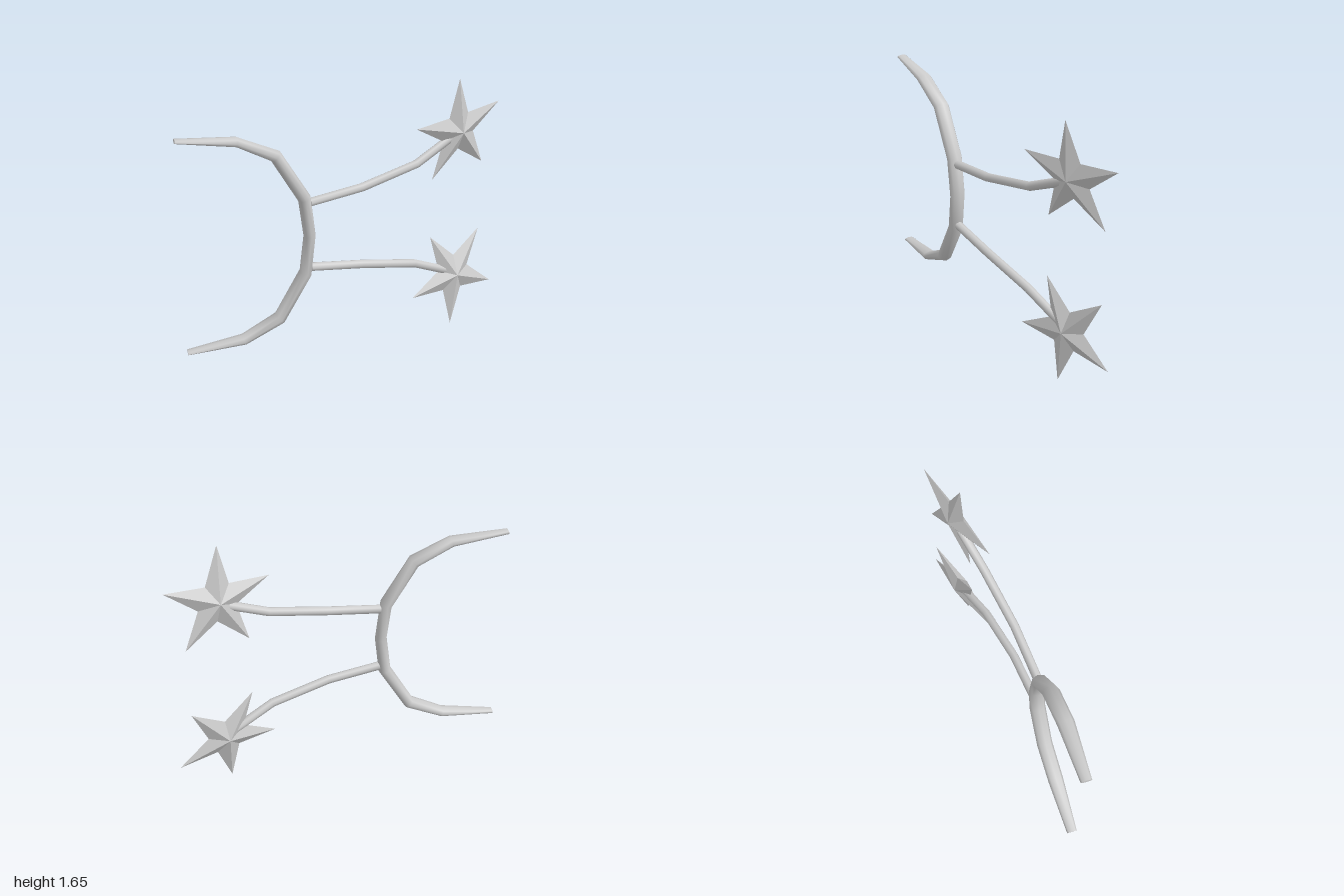
import * as THREE from 'three';

const V = (x, y, z) => new THREE.Vector3(x, y, z);
const MID = 0.8275; // height of the mirror plane
const SIDES = 8;

// Sweep an elliptical section along points [x, y, z, half thickness, half width].
// The width of the section lies along the direction "across".
function sweep(rows, across) {
  const pts = rows.map(r => V(r[0], r[1], r[2]));
  const pos = [], index = [];
  const push = p => pos.push(p.x, p.y, p.z) / 3 - 1;
  const rings = pts.map((p, i) => {
    const t = V(0, 0, 0);
    if (i > 0) t.add(p.clone().sub(pts[i - 1]).normalize());
    if (i < pts.length - 1) t.add(pts[i + 1].clone().sub(p).normalize());
    t.normalize();
    const n = across.clone().addScaledVector(t, -across.dot(t)).normalize();
    const b = n.clone().cross(t);
    return Array.from({ length: SIDES }, (_, j) => {
      const a = (j / SIDES) * Math.PI * 2;
      return p.clone().addScaledVector(b, rows[i][3] * Math.cos(a)).addScaledVector(n, rows[i][4] * Math.sin(a));
    });
  });
  rings.forEach(r => r.forEach(push));
  for (let i = 0; i < rings.length - 1; i++) {
    for (let j = 0; j < SIDES; j++) {
      const k = (j + 1) % SIDES;
      const a = i * SIDES + j, b = i * SIDES + k;
      index.push(a, b, a + SIDES, b, b + SIDES, a + SIDES);
    }
  }
  // End caps with their own vertices, so the rims stay sharp
  [0, rings.length - 1].forEach((i, end) => {
    const c = push(pts[i]);
    rings[i].forEach(push);
    for (let j = 0; j < SIDES; j++) {
      const a = c + 1 + j, b = c + 1 + ((j + 1) % SIDES);
      if (end) index.push(c, a, b);
      else index.push(c, b, a);
    }
  });
  const g = new THREE.BufferGeometry();
  g.setAttribute('position', new THREE.Float32BufferAttribute(pos, 3));
  g.setIndex(index);
  g.computeVertexNormals();
  return g;
}

// Faceted five-pointed star in the xy plane with a peak on both faces
function starGeometry(outer, inner, peak) {
  const ring = Array.from({ length: 10 }, (_, i) => {
    const a = Math.PI / 2 + (i * Math.PI) / 5, r = i % 2 ? inner : outer;
    return [r * Math.cos(a), r * Math.sin(a), 0];
  });
  const pos = [];
  ring.forEach((p, i) => {
    const q = ring[(i + 1) % 10];
    pos.push(...p, ...q, 0, 0, peak, ...q, ...p, 0, 0, -peak);
  });
  const g = new THREE.BufferGeometry();
  g.setAttribute('position', new THREE.Float32BufferAttribute(pos, 3));
  g.computeVertexNormals();
  return g;
}

export function createModel() {
  const group = new THREE.Group();
  const smooth = new THREE.MeshStandardMaterial({ color: 0xcccccc });
  const flat = new THREE.MeshStandardMaterial({ color: 0xcccccc, flatShading: true });
  const add = (name, geometry, material) => {
    const mesh = new THREE.Mesh(geometry, material);
    mesh.name = name;
    group.add(mesh);
    return mesh;
  };

  // Headband: half of the arc, mirrored about the middle
  const half = [
    [-1.0, 1.495, 0.263, 0.011, 0.032],
    [-0.66, 1.458, 0.222, 0.028, 0.049],
    [-0.438, 1.348, 0.187, 0.038, 0.05],
    [-0.275, 1.067, 0.163, 0.039, 0.05],
  ];
  const lower = half.map(([x, y, ...r]) => [x, 2 * MID - y, ...r]).reverse();
  const arc = [...half, [-0.247, MID, 0.157, 0.037, 0.05], ...lower];
  add('headband', sweep(arc, V(0.15, 0, 0.99).normalize()), smooth);

  // Two bent stalks, each carrying a star
  for (const [side, s] of [['left', 1], ['right', -1]]) {
    const stalk = [
      [-0.24, 1.037], [0.08, 1.08], [0.43, 1.16], [0.71, 1.3],
    ].map(([x, y], i) => [x, MID + s * (y - MID), [0.155, 0.08, -0.04, -0.165][i], 0.027, 0.027]);
    add(side + 'Stalk', sweep(stalk, V(0, 0, 1)), smooth);

    const star = add(side + 'Star', starGeometry(0.342, 0.125, 0.052), flat);
    const n = V(0.51, -0.1 * s, 1).normalize();
    const up = V(-0.04, s, 0.12);
    up.addScaledVector(n, -up.dot(n)).normalize();
    star.quaternion.setFromRotationMatrix(new THREE.Matrix4().makeBasis(up.clone().cross(n), up, n));
    star.position.set(0.714, MID + s * 0.487, -0.165);
  }
  return group;
}
